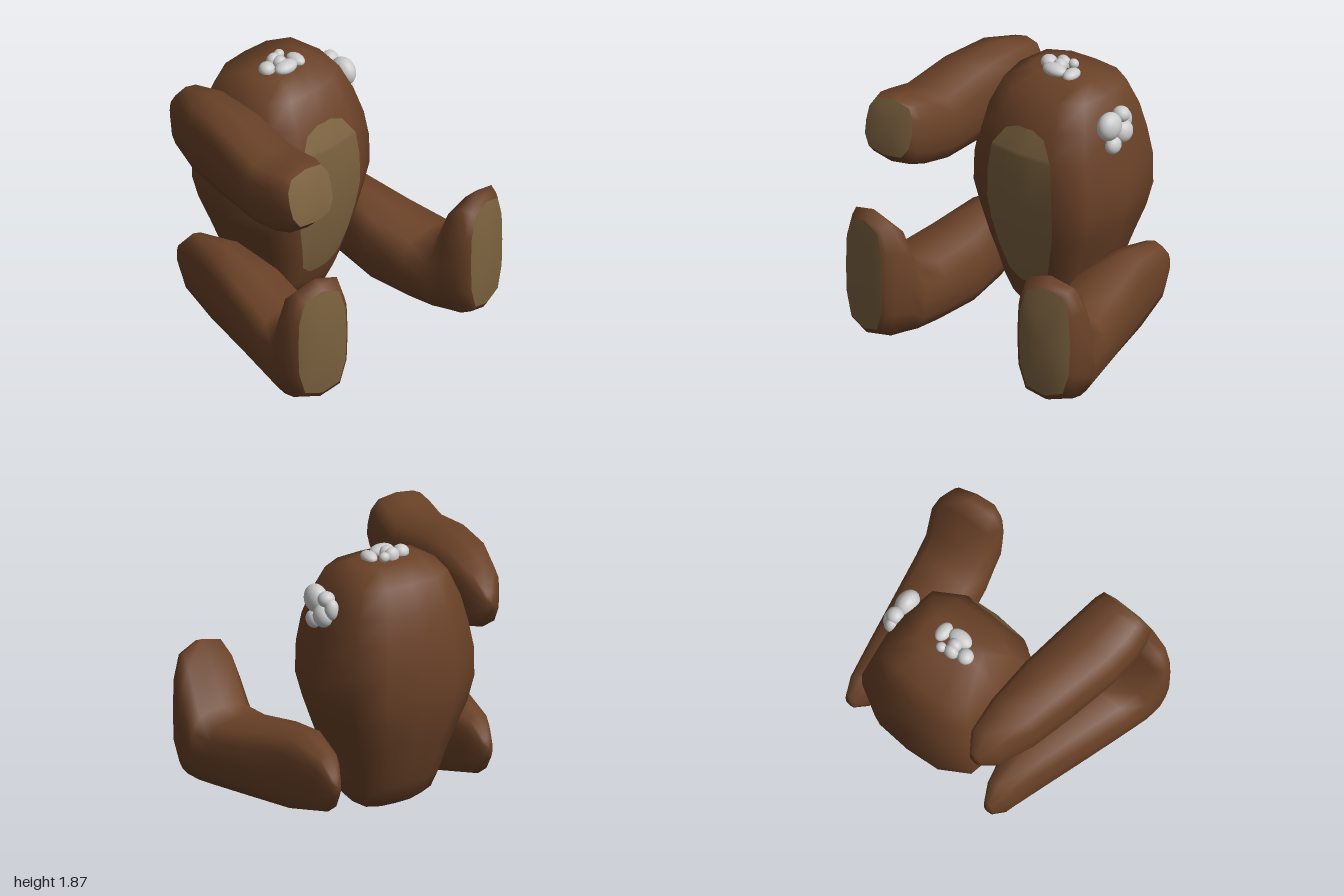
import * as THREE from 'three';

const brown = new THREE.MeshStandardMaterial({ color: 0x6b4228 });
const tan = new THREE.MeshStandardMaterial({ color: 0x7d6340, side: THREE.DoubleSide });
const grey = new THREE.MeshStandardMaterial({ color: 0xcccccc });

// Rounded twelve-sided cross-section with radius 1
const SECTION = [
  [1, 0], [0.96, 0.5], [0.71, 0.89], [0, 1], [-0.71, 0.89], [-0.96, 0.5],
  [-1, 0], [-0.96, -0.5], [-0.71, -0.89], [0, -1], [0.71, -0.89], [0.96, -0.5],
];

// Smooth skin over a row of rings, each an array of points
function loft(name, rings, material, closed = true) {
  const n = rings[0].length;
  const index = [];
  for (let i = 0; i < rings.length - 1; i++) {
    for (let j = 0; j < (closed ? n : n - 1); j++) {
      const k = (j + 1) % n;
      const a = i * n + j, b = i * n + k, c = b + n, d = a + n;
      index.push(a, b, c, a, c, d);
    }
  }
  const geometry = new THREE.BufferGeometry();
  geometry.setAttribute('position', new THREE.Float32BufferAttribute(rings.flat(2), 3));
  geometry.setIndex(index);
  geometry.computeVertexNormals();
  const mesh = new THREE.Mesh(geometry, material);
  mesh.name = name;
  return mesh;
}

// Ring with every point at its centre, used to close an end
function pointRing(x, y, z) {
  return SECTION.map(() => [x, y, z]);
}

// Torso stations: y, half width, front z, back z
const TORSO = [
  [0.02, 0.13, -0.25, -0.42],
  [0.05, 0.23, -0.16, -0.51],
  [0.12, 0.3, -0.09, -0.6],
  [0.25, 0.34, -0.03, -0.66],
  [0.4, 0.37, 0.02, -0.72],
  [0.58, 0.43, 0.07, -0.78],
  [0.77, 0.5, 0.1, -0.84],
  [0.95, 0.55, 0.125, -0.865],
  [1.17, 0.54, 0.13, -0.875],
  [1.37, 0.5, 0.11, -0.85],
  [1.55, 0.455, 0.035, -0.8],
  [1.73, 0.38, -0.06, -0.72],
  [1.8, 0.24, -0.24, -0.5],
];

function makeTorso() {
  const rings = TORSO.map(([y, w, f, b]) => SECTION.map(([u, v]) =>
    [v * w, y, (f + b) / 2 + u * (f - b) / 2]));
  rings.unshift(pointRing(0, 0.02, -0.34));
  rings.push(pointRing(0, 1.805, -0.37));
  return loft('torso', rings, brown);
}

// Belly patch lies just in front of the torso: y, half width
function makeBelly() {
  const rows = [
    [0.33, 0.07], [0.345, 0.1], [0.4, 0.16], [0.58, 0.21], [0.77, 0.255], [0.95, 0.275],
    [1.17, 0.267], [1.34, 0.25], [1.37, 0.24], [1.49, 0.16], [1.53, 0.06],
  ].map(([y, w]) => {
    const i = TORSO.findIndex((s, k) => y <= TORSO[k + 1][0]);
    const [lo, hi] = [TORSO[i], TORSO[i + 1]];
    const t = (y - lo[0]) / (hi[0] - lo[0]);
    const [, hw, f, b] = lo.map((value, k) => THREE.MathUtils.lerp(value, hi[k], t));
    return [-1, -0.5, 0, 0.5, 1].map((s) => {
      const drop = 0.02 * (f - b) * Math.abs(s * w) / (hw * 0.5);
      return [s * w, y, f - drop + 0.005];
    });
  });
  return loft('bellyPatch', rows, tan, false);
}

// Limb along z with a tan pad on its front end.
// Stations: z, x inner, x outer, y low, y high, z slope over x, z slope over y
function makeLimb(name, side, stations, tip, padBulge) {
  const group = new THREE.Group();
  group.name = name;
  const rings = stations.map(([z, xi, xo, y0, y1, sx = 0, sy = 0]) => SECTION.map(([u, v]) => {
    const dx = u * (xo - xi) / 2;
    const dy = v * (y1 - y0) / 2;
    return [side * (xi + xo) / 2 + dx, (y0 + y1) / 2 + dy, z + sx * side * dx + sy * dy];
  }));
  const last = stations[stations.length - 1];
  const edge = rings[rings.length - 1];
  const cx = side * (last[1] + last[2]) / 2;
  const cy = (last[3] + last[4]) / 2;
  // The pad bulges a little between its rim and its middle
  const inner = edge.map(([x, y, z]) => [
    cx + (x - cx) * 0.6, cy + (y - cy) * 0.6, last[0] + (z - last[0]) * 0.6 + padBulge]);
  group.add(
    loft(name + 'Skin', [pointRing(side * tip[0], tip[1], tip[2]), ...rings], brown),
    loft(name + 'Pad', [edge, inner, pointRing(cx, cy, last[0] + padBulge)], tan),
  );
  return group;
}

const LEG = [
  [-0.71, 0.56, 0.64, 0.3, 0.46],
  [-0.6, 0.5, 0.69, 0.16, 0.59],
  [-0.3, 0.42, 0.76, 0.07, 0.64],
  [0.05, 0.365, 0.85, 0.04, 0.57],
  [0.37, 0.41, 0.93, 0.02, 0.51],
  [0.54, 0.45, 0.97, 0.01, 0.53, -0.05],
  [0.65, 0.48, 1.0, 0.005, 0.87, -0.1],
  [0.74, 0.51, 0.99, 0.01, 0.96, -0.18],
  [0.8, 0.55, 0.97, 0.04, 0.93, -0.22],
  [0.825, 0.58, 0.95, 0.08, 0.905, -0.22],
];

const ARM = [
  [-0.81, 0.52, 0.61, 1.42, 1.57],
  [-0.7, 0.44, 0.7, 1.28, 1.72],
  [-0.45, 0.41, 0.79, 1.22, 1.79],
  [-0.1, 0.41, 0.86, 1.21, 1.78],
  [0.25, 0.43, 0.91, 1.2, 1.71],
  [0.45, 0.46, 0.925, 1.24, 1.74, 0, -0.1],
  [0.57, 0.48, 0.915, 1.29, 1.76, 0, -0.18],
  [0.64, 0.505, 0.89, 1.37, 1.75, 0, -0.26],
];

// Clump of stuffing: x, y, z, then the three radii of each ball
function makeStuffing(name, balls) {
  const group = new THREE.Group();
  group.name = name;
  const geometry = new THREE.SphereGeometry(1, 20, 14);
  balls.forEach(([x, y, z, rx, ry, rz], i) => {
    const ball = new THREE.Mesh(geometry, grey);
    ball.name = name + 'Ball' + (i + 1);
    ball.position.set(x, y, z);
    ball.scale.set(rx, ry, rz);
    group.add(ball);
  });
  return group;
}

export function createModel() {
  const model = new THREE.Group();
  model.name = 'headlessStuffedBear';
  model.add(makeTorso(), makeBelly());
  for (const [name, side] of [['leftLeg', 1], ['rightLeg', -1]]) {
    model.add(makeLimb(name, side, LEG, [0.6, 0.39, -0.725], 0.025));
  }
  model.add(makeLimb('rightArm', -1, ARM, [0.565, 1.5, -0.82], 0.015));

  // Stuffing coming out at the neck and the missing left arm
  model.add(makeStuffing('neckStuffing', [
    [-0.125, 1.815, -0.375, 0.057, 0.05, 0.057],
    [-0.03, 1.82, -0.41, 0.055, 0.058, 0.045],
    [0.04, 1.83, -0.43, 0.038, 0.035, 0.035],
    [-0.02, 1.82, -0.3, 0.09, 0.045, 0.06],
    [0.1, 1.81, -0.33, 0.05, 0.04, 0.075],
    [-0.02, 1.825, -0.36, 0.05, 0.05, 0.05],
  ]));
  model.add(makeStuffing('shoulderStuffing', [
    [0.475, 1.57, -0.26, 0.075, 0.1, 0.1],
    [0.5, 1.43, -0.27, 0.05, 0.062, 0.065],
    [0.495, 1.49, -0.38, 0.065, 0.08, 0.08],
    [0.475, 1.61, -0.39, 0.06, 0.055, 0.06],
    [0.465, 1.55, -0.44, 0.05, 0.075, 0.05],
  ]));
  return model;
}
